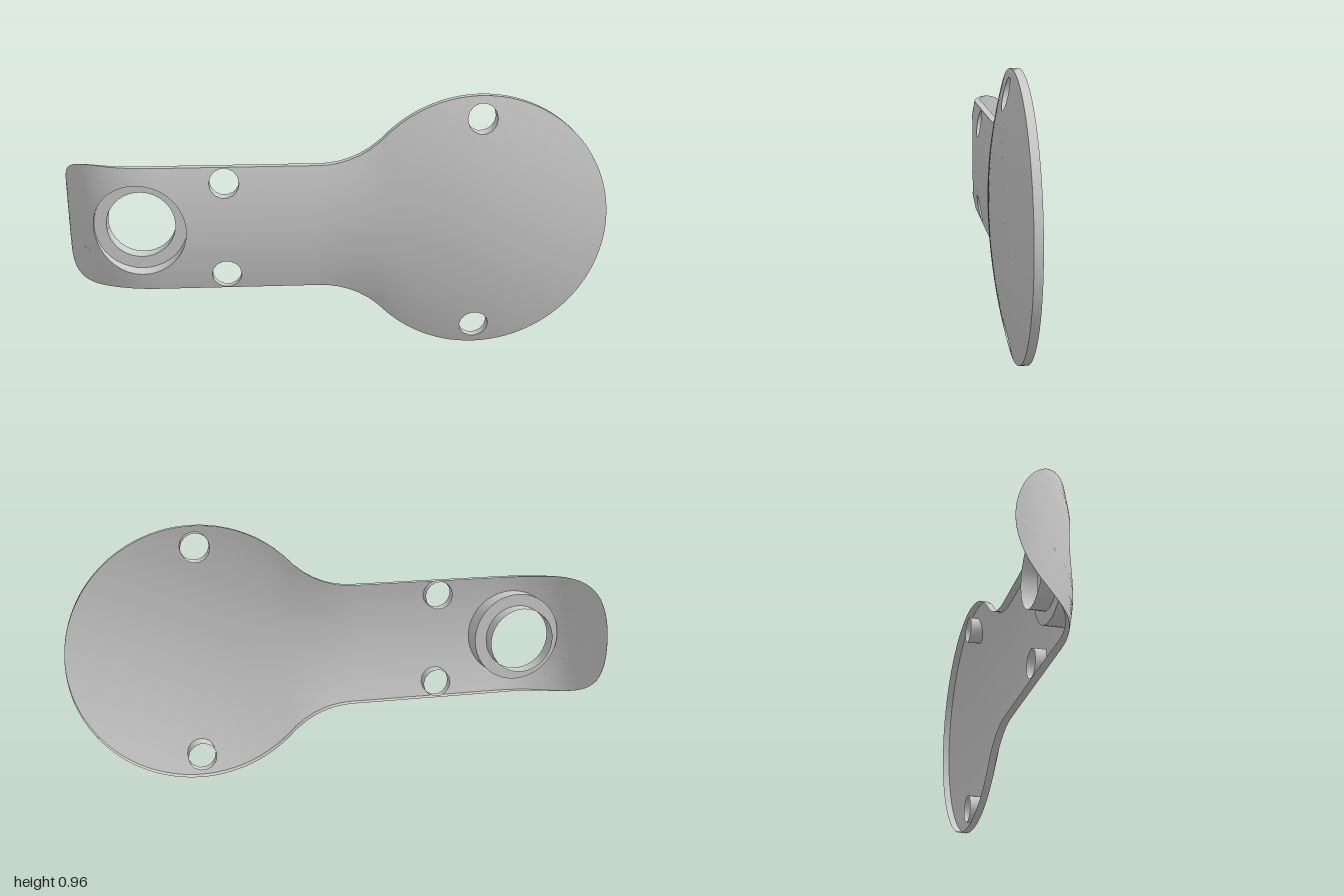
import * as THREE from 'three';
import { mergeVertices, toCreasedNormals } from 'three/addons/utils/BufferGeometryUtils.js';

const MID_Y = 0.481, DISC_X = 0.52, DISC_R = 0.48, ARM = 0.2325;
const FILLET_X = -0.06, FILLET_R = 0.3235, FILLET_END = 0.1735;
const BEND = -0.65, BEND_X = 0.35, BEND_Z = 0.245, BEND_LEN = 0.478;
const TIP = BEND - BEND_LEN, END = DISC_X + DISC_R, LIP = 0.028;
const { sin, cos, sqrt, max, min, PI } = Math;

// Angle of the curled tip at position u along the unrolled plate
const bendAngle = (u) => max(0, (BEND - u) / BEND_LEN) * PI / 2;

// Unrolled position for a given x
const unroll = (x) => x > BEND ? x : BEND - BEND_LEN * Math.asin(min(1, (BEND - x) / BEND_X)) * 2 / PI;

// Half the plate width: rounded tip, straight arm, fillet, disc
function halfWidth(u) {
  if (u < BEND) {
    const drop = 0.045 - (0.09 - BEND_Z * (1 - cos(bendAngle(u))));
    return ARM * sqrt(max(0, 1 - (max(0, drop) / 0.2) ** 2));
  }
  if (u < FILLET_X) return ARM;
  if (u < FILLET_END) return ARM + FILLET_R - sqrt(FILLET_R ** 2 - (u - FILLET_X) ** 2);
  return sqrt(max(0, DISC_R ** 2 - (u - DISC_X) ** 2));
}

// Point on the plate: u along, v across, depth behind the surface
function surface(u, v, depth = 0) {
  const t = bendAngle(u);
  const crown = u > DISC_X
    ? 0.065 * (1 - ((u - DISC_X) / DISC_R) ** 2)
    : 0.025 * cos(t) + 0.04 * THREE.MathUtils.smoothstep(u, -0.1, DISC_X);
  const across = min(1, Math.abs(v) / max(halfWidth(u), 1e-4));
  const z = 0.09 + crown * (1 - across * across) - BEND_Z * (1 - cos(t));
  const x = t > 0 ? BEND - BEND_X * sin(t) : u;
  const n = new THREE.Vector2(-BEND_Z * sin(t), BEND_X * cos(t)).normalize();
  return new THREE.Vector3(x - n.x * depth, MID_Y + v, z - n.y * depth);
}

// Closed plan outline, counter-clockwise from the tip
function outline() {
  const N = 90, pts = [];
  const at = (i) => (TIP + END) / 2 - (END - TIP) / 2 * cos(i / N * PI);
  for (let i = 0; i <= N; i++) pts.push(new THREE.Vector2(at(i), -halfWidth(at(i))));
  for (let i = N - 1; i > 0; i--) pts.push(new THREE.Vector2(at(i), halfWidth(at(i))));
  return pts;
}

// Halve the longest edge of each triangle until all are short
function subdivide(geometry, limit) {
  const p = geometry.attributes.position;
  const stack = [], out = [];
  for (let i = 0; i < p.count; i += 3) {
    stack.push([0, 1, 2].map((k) => new THREE.Vector3().fromBufferAttribute(p, i + k)));
  }
  while (stack.length) {
    const tri = stack.pop();
    const len = tri.map((a, k) => a.distanceTo(tri[(k + 1) % 3]));
    const longest = max(...len);
    if (longest <= limit) { out.push(...tri); continue; }
    const k = len.indexOf(longest);
    const a = tri[k], b = tri[(k + 1) % 3], c = tri[(k + 2) % 3];
    const m = a.clone().add(b).multiplyScalar(0.5);
    stack.push([a, m, c], [m, b, c]);
  }
  return out;
}

// Domed sheet with a curled tip and round openings
function sheetGeometry(openings) {
  const shape = new THREE.Shape(outline());
  for (const { x, v, r, sides } of openings) {
    const pts = [];
    for (let i = 0; i < sides; i++) {
      const a = -i / sides * 2 * PI;
      pts.push(new THREE.Vector2(unroll(x + r * cos(a)), v + r * sin(a)));
    }
    shape.holes.push(new THREE.Path(pts));
  }
  const flat = new THREE.ShapeGeometry(shape).toNonIndexed();
  const points = subdivide(flat, 0.045).map((p) => surface(p.x, p.y));
  const g = mergeVertices(new THREE.BufferGeometry().setFromPoints(points), 1e-5);
  g.computeVertexNormals();
  return g;
}

// Edge wall behind the sheet, fading out along the curl
function lipGeometry() {
  const points = [], index = [], rim = outline();
  rim.forEach((p, i) => {
    const depth = LIP * max(0.03, 1 - bendAngle(p.x) / 0.9);
    points.push(surface(p.x, p.y), surface(p.x, p.y, depth));
    const a = 2 * i, b = 2 * ((i + 1) % rim.length);
    index.push(a, a + 1, b, b, a + 1, b + 1);
  });
  const g = new THREE.BufferGeometry().setFromPoints(points);
  g.setIndex(index);
  g.computeVertexNormals();
  return g;
}

// Wall lining an opening: [radius, z] steps, then up to the sheet
function liningGeometry({ x, v, r, sides, steps }) {
  const profile = [...steps, [r, 0.1]].map(([radius, z]) => new THREE.Vector2(radius, z));
  const g = new THREE.LatheGeometry(profile, sides, PI / 2);
  g.rotateX(PI / 2);
  g.translate(x, MID_Y + v, 0);
  const p = g.attributes.position;
  for (let i = profile.length - 1; i < p.count; i += profile.length) {
    p.setZ(i, surface(unroll(p.getX(i)), p.getY(i) - MID_Y).z);
  }
  return toCreasedNormals(g, 0.6);
}

export function createModel() {
  const group = new THREE.Group();
  const material = new THREE.MeshStandardMaterial({ color: 0xcccccc, side: THREE.DoubleSide });
  const add = (name, geometry) => {
    const mesh = new THREE.Mesh(geometry, material);
    mesh.name = name;
    group.add(mesh);
  };

  // stepped collar near the tip, and two mirrored pairs of screw holes
  const openings = [{
    name: 'steppedCollar', x: -0.71, v: 0, r: 0.17, sides: 40,
    steps: [[0.125, -0.022], [0.125, 0.035], [0.17, 0.035]],
  }];
  for (const side of [-1, 1]) {
    const hole = { r: 0.054, sides: 14, steps: [[0.054, 0.063]] };
    openings.push({ name: 'armScrewHole', x: -0.4, v: side * 0.175, ...hole });
    openings.push({ name: 'discScrewHole', x: DISC_X, v: side * 0.4, ...hole });
  }

  add('curvedPlate', sheetGeometry(openings));
  add('edgeLip', lipGeometry());
  for (const o of openings) add(o.name, liningGeometry(o));
  return group;
}
